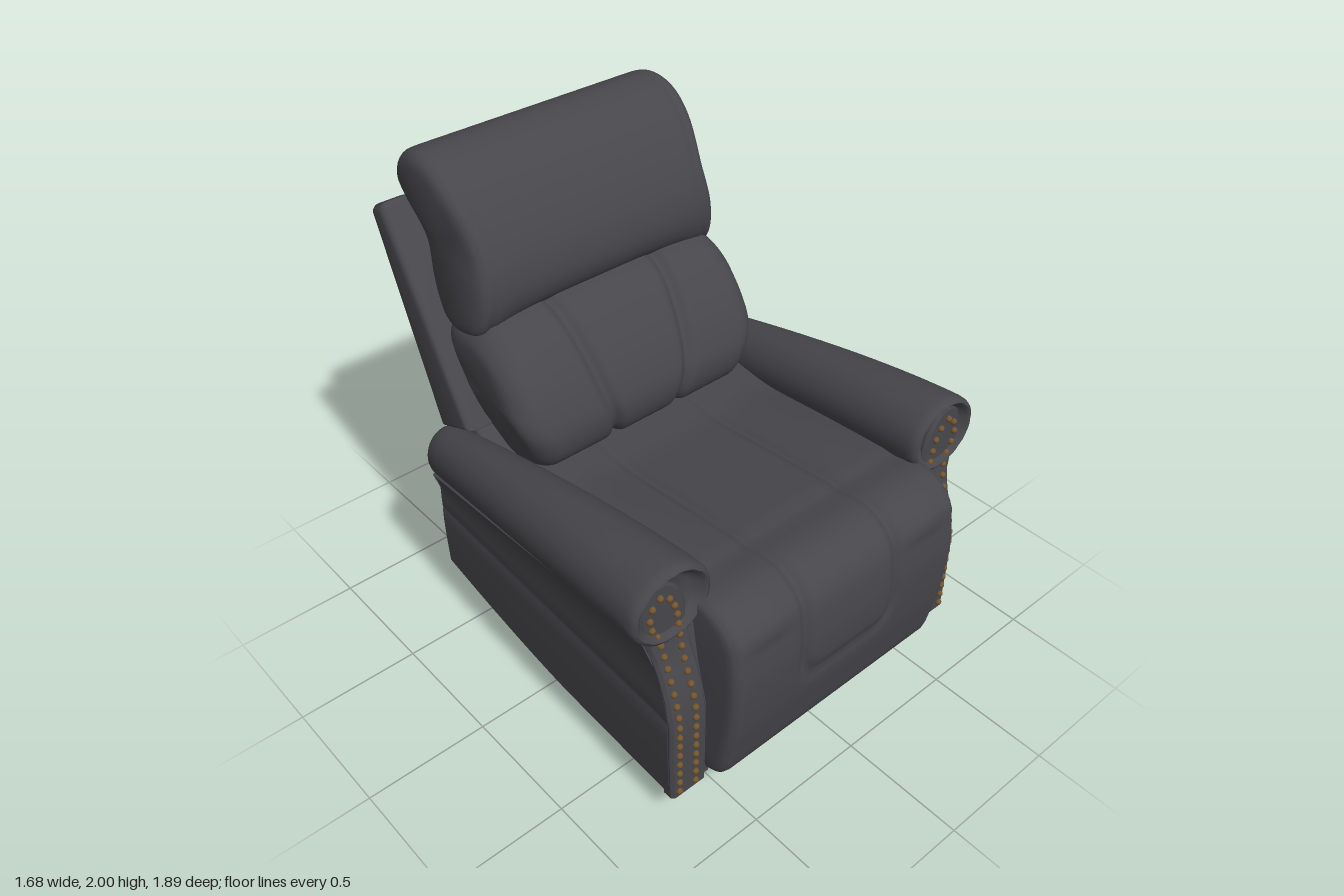
import * as THREE from 'three';
import { toCreasedNormals } from 'three/addons/utils/BufferGeometryUtils.js';

const V = (x, y, z) => new THREE.Vector3(x, y, z);
const { lerp, smoothstep, clamp } = THREE.MathUtils;
const bump = (d, w) => Math.exp(-(d / w) * (d / w));

// Closed surface through equal-length rings, with fan caps; winding fixed by signed volume.
function loft(rings, crease = 0.9) {
  const n = rings[0].length, pts = rings.flat(), idx = [];
  for (let i = 0; i < rings.length - 1; i++) {
    for (let j = 0; j < n; j++) {
      const a = i * n + j, b = i * n + (j + 1) % n;
      idx.push(a, b, b + n, a, b + n, a + n);
    }
  }
  [0, rings.length - 1].forEach((r, end) => {
    const c = pts.length;
    pts.push(rings[r].reduce((s, p) => s.add(p), V(0, 0, 0)).divideScalar(n));
    for (let j = 0; j < n; j++) {
      const a = r * n + j, b = r * n + (j + 1) % n;
      if (end) idx.push(c, a, b); else idx.push(c, b, a);
    }
  });
  let vol = 0;
  for (let i = 0; i < idx.length; i += 3) {
    vol += pts[idx[i]].dot(V(0, 0, 0).crossVectors(pts[idx[i + 1]], pts[idx[i + 2]]));
  }
  if (vol < 0) idx.reverse();
  const g = new THREE.BufferGeometry().setFromPoints(pts);
  g.setIndex(idx);
  return toCreasedNormals(g, crease);
}

// Padded cushion: smooth (z, y) outline swept across x, rounded at both ends.
// puff(x, y, z) pushes the surface outward; warp(p, u) reshapes each point.
function cushion(outline, half, round, puff, warp, nx = 130, ns = 110) {
  const curve = new THREE.CatmullRomCurve3(outline.map(([z, y]) => V(0, y, z)), true);
  const prof = curve.getSpacedPoints(ns).slice(0, ns);
  const mid = prof.reduce((s, p) => s.add(p), V(0, 0, 0)).divideScalar(ns);
  const rings = [];
  for (let i = 0; i <= nx; i++) {
    const u = Math.sin((i / nx - 0.5) * Math.PI) * 0.45 + (i / nx - 0.5) * 1.1;
    const x = u * half;
    const t = clamp((Math.abs(x) - half + round) / round, 0, 1);
    const inset = round * (1 - Math.sqrt(1 - t * t));
    rings.push(prof.map((p) => {
      const out = p.clone().sub(mid).normalize();
      const q = p.clone().addScaledVector(out, puff(x, p.y, p.z) - inset);
      q.x = x;
      if (warp) warp(q, u);
      return q;
    }));
  }
  return loft(rings, 1.2);
}

// Bevelled slab: (z, y) polygon extruded from x0 to x1.
function slab(poly, x0, x1, b) {
  const g = new THREE.ExtrudeGeometry(new THREE.Shape(poly.map(([z, y]) => new THREE.Vector2(z, y))), {
    depth: x1 - x0 - 2 * b, bevelEnabled: true, bevelThickness: b, bevelSize: b, bevelOffset: -b, bevelSegments: 4,
  });
  g.rotateY(-Math.PI / 2).translate(x1 - b, 0, 0);
  return toCreasedNormals(g, 0.7);
}

// Front edge and lower edge of the arms
const armFrontZ = (y) => 0.795 - 0.09 * smoothstep(y, 0.5, 0.88);
const armBottom = (z) => 0.13 + 0.1 * Math.pow(Math.max(0, (0.2 - z) / 0.83), 1.5);

function armPanel(s) {
  const section = [[0.55, 0.13], [0.72, 0.13], [0.737, 0.15], [0.742, 0.3], [0.744, 0.45], [0.742, 0.52], [0.738, 0.53],
    [0.74, 0.54], [0.74, 0.62], [0.738, 0.72], [0.75, 0.8], [0.77, 0.86], [0.7, 0.95], [0.56, 0.95], [0.55, 0.7], [0.55, 0.5]];
  const rings = [];
  for (let i = 0; i <= 20; i++) {
    const t = i / 20;
    rings.push(section.map(([x, y]) => {
      const z = lerp(armFrontZ(y), -0.63, t);
      const yy = y > 0.55 ? 0.55 + (y - 0.55) * (1 - 0.46 * t) : lerp(armBottom(z), 0.55, (y - 0.13) / 0.42);
      return V(s * (0.55 + (x - 0.55) * (1 - 0.21 * t)), yy, z);
    }));
  }
  return loft(rings, 0.6);
}

function armRoll(s) {
  const rings = [];
  const ring = (t, k, z) => {
    const e = Math.pow(t, 1.4), out = [];
    for (let j = 0; j < 40; j++) {
      const a = j / 40 * Math.PI * 2;
      // gathers around the front rim
      const r = k * (1 - (t < 0.02 ? 0.02 * bump(Math.sin(a * 4), 0.25) : 0));
      out.push(V(s * (lerp(0.668, 0.648, e) + lerp(0.172, 0.092, e) * r * Math.cos(a)),
        lerp(1.0, 0.805, e) + lerp(0.155, 0.118, e) * r * Math.sin(a), z));
    }
    rings.push(out);
  };
  [[0.6, 0.7], [0.72, 0.71], [0.8, 0.735], [0.88, 0.744], [0.95, 0.738], [0.99, 0.72]].forEach(([k, z]) => ring(0, k, z));
  for (let i = 0; i <= 24; i++) ring(0.03 + 0.95 * i / 24, 1, lerp(0.7, -0.61, i / 24));
  ring(1, 0.96, -0.628);
  ring(1, 0.85, -0.635);
  return loft(rings);
}

// Scroll-topped facing on the arm front: rows of [y, inner x, outer x]
function armFacing(s) {
  const rows = [[0.13, 0.575, 0.735], [0.3, 0.575, 0.738], [0.5, 0.575, 0.738], [0.62, 0.575, 0.738], [0.72, 0.578, 0.738],
    [0.8, 0.582, 0.748], [0.88, 0.587, 0.77], [0.95, 0.592, 0.79], [1.01, 0.605, 0.79], [1.06, 0.635, 0.775], [1.09, 0.67, 0.745]];
  return loft(rows.map(([y, a, b]) => {
    const z = armFrontZ(y), c = 0.012;
    return [[a, -0.03], [b, -0.03], [b, 0.005], [b - c, 0.017], [a + c, 0.017], [a, 0.005]].map(([x, d]) => V(s * x, y, z + d));
  }), 0.5);
}

export function createModel() {
  const model = new THREE.Group();
  model.name = 'reclinerChair';
  const mat = (name, color) => {
    const m = new THREE.MeshStandardMaterial({ color });
    m.name = name;
    return m;
  };
  const leather = mat('charcoal upholstery', 0x47464b);
  const black = mat('black metal', 0x1b1b1d);
  const brass = mat('brass studs', 0x73552f);
  const add = (name, geo, material = leather, parent = model) => {
    const m = new THREE.Mesh(geo, material);
    m.name = name;
    parent.add(m);
    return m;
  };
  const box = (name, x, y, z, w, h, d) => add(name, new THREE.BoxGeometry(w, h, d).translate(x, y, z), black);

  // Seat and footrest: three panels, with a rounded pad on the front
  add('seatAndFootrest', cushion(
    [[0.79, 0.135], [0.86, 0.16], [0.905, 0.32], [0.93, 0.5], [0.935, 0.7], [0.9, 0.86], [0.8, 0.935], [0.62, 0.93], [0.3, 0.9],
      [0, 0.87], [-0.35, 0.86], [-0.42, 0.6], [-0.2, 0.25], [0.3, 0.17], [0.65, 0.14]], 0.565, 0.05,
    (x, y, z) => {
      const ax = Math.abs(x);
      let d = ax - 0.23;
      if (z > 0.7) {
        const qx = ax - 0.13, qy = 0.58 - y;
        d = Math.hypot(Math.max(qx, 0), Math.max(qy, 0)) + Math.min(Math.max(qx, qy), 0) - 0.1;
      }
      if (y < 0.3 && z < 0.7) return 0;
      const cross = y > 0.85 ? 0.014 * bump(z - 0.64, 0.025) : 0;
      return 0.008 * smoothstep(-d, 0, 0.06) - 0.016 * bump(d, 0.02) - cross + (y > 0.8 ? 0.022 * bump(ax - 0.4, 0.12) : 0);
    }));

  // Lower body between the arms
  add('baseBody', slab([[0.72, 0.15], [0.1, 0.15], [-0.3, 0.18], [-0.62, 0.24], [-0.632, 0.91], [-0.52, 0.92], [-0.42, 0.8], [0.6, 0.75]],
    -0.57, 0.57, 0.015));
  add('underside', slab([[0.65, 0.14], [0.1, 0.14], [-0.3, 0.17], [-0.54, 0.213], [-0.54, 0.25], [0.65, 0.2]], -0.48, 0.48, 0.004), black);

  // Lower back cushion with slanted seams
  add('backCushion', cushion(
    [[-0.18, 0.92], [-0.155, 1.03], [-0.19, 1.15], [-0.265, 1.28], [-0.36, 1.385], [-0.47, 1.43], [-0.62, 1.42], [-0.66, 1.35],
      [-0.56, 1.1], [-0.48, 0.92], [-0.38, 0.85], [-0.26, 0.86]], 0.585, 0.11,
    (x, y) => {
      const d = Math.abs(x) - (0.18 + 0.07 * (y - 0.95) / 0.47);
      return 0.012 - 0.026 * bump(d, 0.026);
    },
    (p, u) => {
      p.x *= 1 - 0.1 * smoothstep(-p.y, -1.15, -0.9);
      p.y -= 0.03 * u ** 4 * smoothstep(p.y, 1.2, 1.4);
    }));

  // Head pillow, its lower edge drooping at the sides
  add('headPillow', cushion(
    [[-0.45, 1.42], [-0.405, 1.5], [-0.41, 1.62], [-0.475, 1.78], [-0.57, 1.91], [-0.67, 1.98], [-0.78, 1.995], [-0.875, 1.95],
      [-0.915, 1.87], [-0.88, 1.77], [-0.8, 1.65], [-0.7, 1.45], [-0.58, 1.39]], 0.575, 0.07,
    (x, y, z) => -0.008 * bump(Math.abs(x) - 0.51, 0.015) * smoothstep(z, -0.9, -0.6),
    (p, u) => {
      p.x *= 1 - 0.05 * bump(p.y - 1.68, 0.16) + 0.015 * bump(p.y - 1.4, 0.08);
      p.y -= 0.06 * u ** 4 * smoothstep(-p.y, -1.6, -1.42);
    }, 70, 90));

  // Back shell and side wings
  add('backPanel', slab([[-0.45, 0.99], [-0.62, 0.905], [-0.938, 1.735], [-0.86, 1.77]], -0.52, 0.52, 0.012));

  for (const s of [1, -1]) {
    const side = s > 0 ? 'left' : 'right';
    const wing = [[-0.44, 1.0], [-0.63, 0.92], [-0.945, 1.735], [-0.93, 1.755], [-0.87, 1.785], [-0.85, 1.77]];
    add(side + 'Wing', slab(wing, s > 0 ? 0.5 : -0.657, s > 0 ? 0.657 : -0.5, 0.03));

    // Arm with studded facing
    const arm = new THREE.Group();
    arm.name = side + 'Arm';
    model.add(arm);
    add('armPanel', armPanel(s), leather, arm);
    add('armRoll', armRoll(s), leather, arm);
    add('armFacing', armFacing(s), leather, arm);
    const path = new THREE.CatmullRomCurve3([[0.63, 0.16], [0.63, 0.4], [0.63, 0.7], [0.63, 0.87], [0.645, 0.97], [0.675, 1.03],
      [0.72, 1.05], [0.752, 0.99], [0.745, 0.93], [0.718, 0.87], [0.705, 0.78], [0.705, 0.6], [0.705, 0.4], [0.705, 0.16]]
      .map(([x, y]) => V(s * x, y, 0)));
    const stud = new THREE.SphereGeometry(0.0135, 10, 6);
    for (const p of path.getSpacedPoints(38)) {
      add('stud', stud, brass, arm).position.set(p.x, p.y, armFrontZ(p.y) + 0.019);
    }

    // Floor rail, feet and lift links
    box(side + 'Rail', s * 0.27, 0.052, 0.09, 0.045, 0.04, 1.2);
    for (const [x, z] of [[0.27, 0.665], [0.535, 0.35], [0.535, -0.49]]) {
      add('foot', new THREE.CylinderGeometry(0.027, 0.03, 0.035, 16).translate(s * x, 0.0175, z), black);
      box('footBracket', s * x, 0.052, z, 0.065, 0.05, 0.06);
    }
    box('liftLink', s * 0.15, 0.13, -0.44, 0.03, 0.14, 0.035);
    box('liftPlate', s * 0.15, 0.125, -0.49, 0.03, 0.035, 0.07);
  }

  // Cross bars and lift mechanism
  box('frontCrossBar', 0, 0.052, 0.35, 1.13, 0.042, 0.045);
  box('rearCrossBar', 0, 0.052, -0.49, 1.13, 0.042, 0.045);
  box('mechanismTray', 0, 0.155, 0.06, 0.36, 0.09, 0.96);
  box('actuator', 0, 0.105, 0.05, 0.12, 0.07, 0.98);
  const cable = new THREE.CatmullRomCurve3([V(-0.27, 0.08, -0.5), V(-0.38, 0.07, -0.53), V(-0.44, 0.04, -0.54), V(-0.46, 0.02, -0.545)]);
  add('powerCable', new THREE.TubeGeometry(cable, 16, 0.007, 8), black);
  return model;
}
